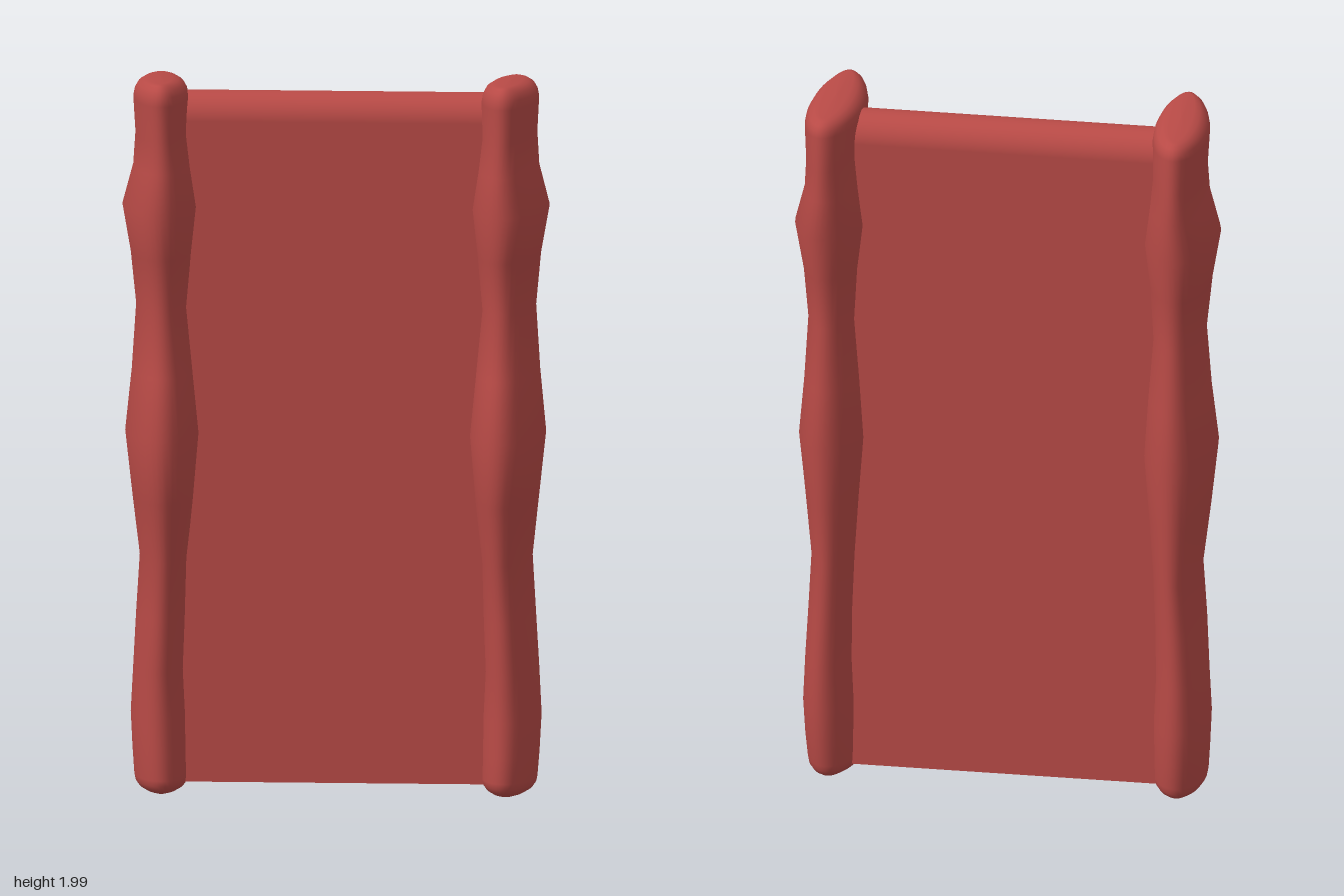
import * as THREE from 'three';

const material = new THREE.MeshStandardMaterial({ color: 0xb84a46, roughness: 0.8, side: THREE.DoubleSide });
const SIDES = 40;

// Post sections: height, inner x, outer x, back z, front z
const SECTIONS = [
  [0.05, 0.405, 0.555, -0.17, 0.145],
  [0.12, 0.406, 0.56, -0.183, 0.145],
  [0.22, 0.406, 0.565, -0.19, 0.142],
  [0.35, 0.413, 0.558, -0.192, 0.142],
  [0.5, 0.41, 0.55, -0.19, 0.16],
  [0.66, 0.405, 0.54, -0.195, 0.155],
  [0.83, 0.39, 0.56, -0.205, 0.21],
  [1.01, 0.375, 0.58, -0.215, 0.227],
  [1.18, 0.39, 0.562, -0.21, 0.19],
  [1.36, 0.405, 0.55, -0.19, 0.15],
  [1.51, 0.395, 0.565, -0.205, 0.193],
  [1.64, 0.38, 0.588, -0.225, 0.203],
  [1.75, 0.397, 0.558, -0.225, 0.19],
  [1.84, 0.407, 0.552, -0.225, 0.18],
  [1.94, 0.405, 0.558, -0.22, 0.188],
];

// One wavy elliptical post with rounded ends; side is +1 or -1
function postGeometry(side) {
  const ring = ([y, xi, xo, zb, zf], inset = 0, newY = y, slope = 0) => ({
    y: newY, slope, cx: (xi + xo) / 2, cz: (zb + zf) / 2,
    rx: Math.max((xo - xi) / 2 - inset, 0), rz: Math.max((zf - zb) / 2 - inset, 0),
  });
  const first = SECTIONS[0], last = SECTIONS[SECTIONS.length - 1];
  const closed = (r) => ({ ...r, rx: 0, rz: 0 });
  const rings = [closed(ring(first, 0, 0.006))];
  for (const [inset, y] of [[0.045, 0.008], [0.028, 0.012], [0.012, 0.021], [0.003, 0.034]]) {
    rings.push(ring(first, inset, y));
  }
  SECTIONS.forEach((s) => rings.push(ring(s)));
  for (const [inset, y, slope] of [[0.004, 1.961, 0.02], [0.013, 1.977, 0.03], [0.028, 1.987, 0.045], [0.045, 1.991, 0.05]]) {
    rings.push(ring(last, inset, y, slope));
  }
  rings.push(closed(ring(last, 0, 1.992)));

  const positions = [], index = [];
  rings.forEach((r, j) => {
    for (let i = 0; i < SIDES; i++) {
      const a = (i / SIDES) * Math.PI * 2;
      const z = r.cz + r.rz * Math.sin(a);
      const x = r.cx + r.rx * Math.cos(a) - 0.05 * z;
      positions.push(side * x, r.y + r.slope * z, z);
      if (j === 0) continue;
      const n = (i + 1) % SIDES;
      const p = (j - 1) * SIDES + i, q = (j - 1) * SIDES + n;
      const u = j * SIDES + i, v = j * SIDES + n;
      if (side > 0) index.push(p, u, q, q, u, v);
      else index.push(p, q, u, q, v, u);
    }
  });
  const geometry = new THREE.BufferGeometry();
  geometry.setAttribute('position', new THREE.Float32BufferAttribute(positions, 3));
  geometry.setIndex(index);
  geometry.computeVertexNormals();
  return geometry;
}

export function createModel() {
  const model = new THREE.Group();
  const add = (name, geometry, x = 0, y = 0, z = 0) => {
    const mesh = new THREE.Mesh(geometry, material);
    mesh.name = name;
    mesh.position.set(x, y, z);
    model.add(mesh);
    return mesh;
  };

  add('leftPost', postGeometry(1));
  add('rightPost', postGeometry(-1));

  // Cloth folded over a rounded top, open along the bottom
  const width = 0.9, radius = 0.075, bottom = 0.035, foldY = 1.88, centreZ = -0.025;
  const height = foldY - bottom;
  add('frontSheet', new THREE.PlaneGeometry(width, height), 0, bottom + height / 2, centreZ + radius);
  add('backSheet', new THREE.PlaneGeometry(width, height), 0, bottom + height / 2, centreZ - radius)
    .rotation.y = Math.PI;
  const fold = new THREE.CylinderGeometry(radius, radius, width, 24, 1, true, 0, Math.PI);
  fold.rotateZ(Math.PI / 2); // the half facing +x turns to face up
  add('topFold', fold, 0, foldY, centreZ);

  return model;
}
